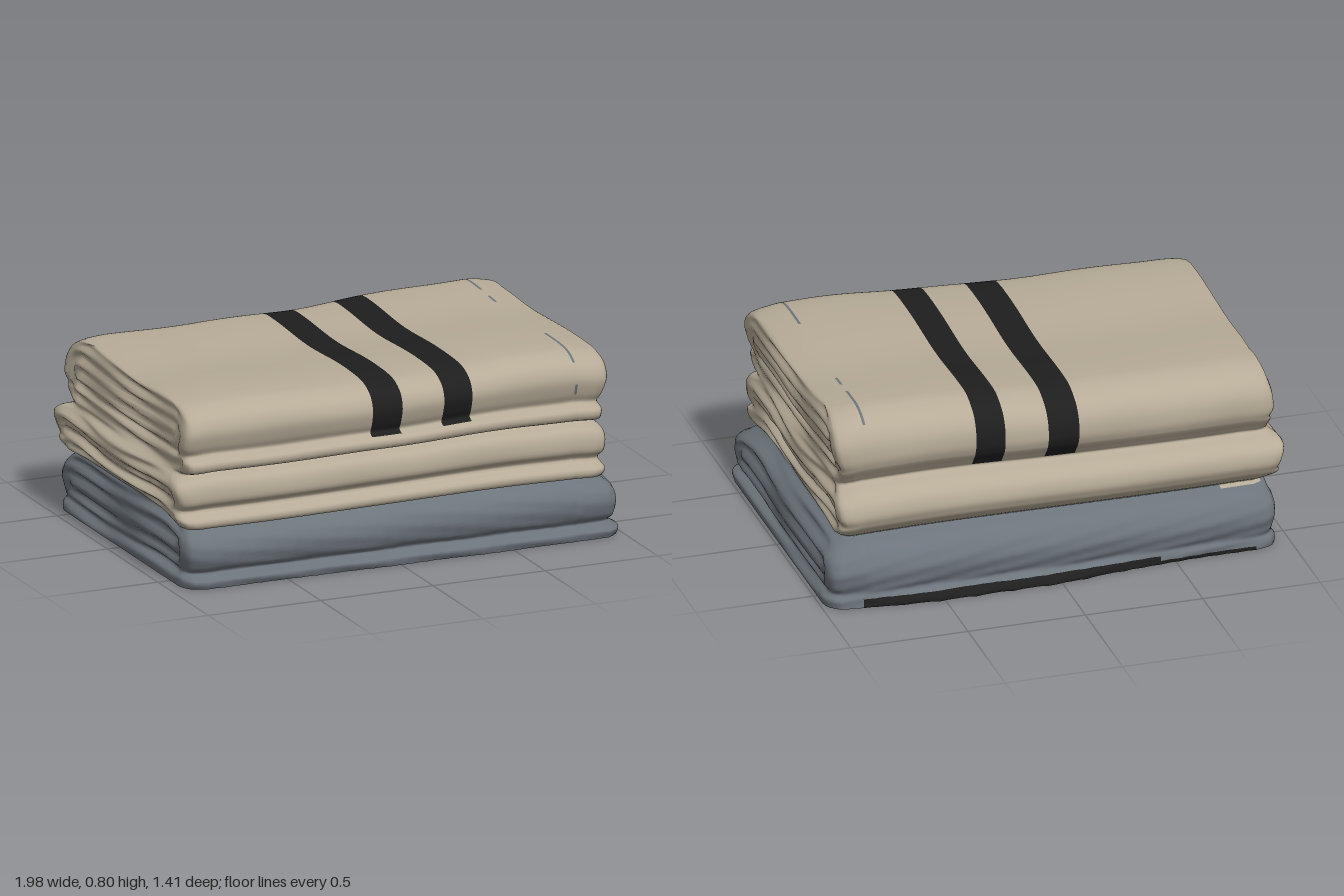
import * as THREE from 'three';

// Outline of the pile from the floor up: y, front z, back z, right x, left x
const KEYS = [
  [0, .69, -.66, -.945, .985], [.035, .70, -.66, -.945, .99], [.057, .65, -.65, -.935, .97],
  [.09, .675, -.66, -.94, .982], [.15, .69, -.668, -.95, .988], [.21, .675, -.64, -.945, .98],
  [.25, .635, -.59, -.93, .94], [.27, .62, -.545, -.92, .90], [.285, .69, -.56, -.95, .91],
  [.32, .70, -.60, -.975, .92], [.345, .65, -.615, -.965, .91], [.38, .68, -.625, -.975, .925],
  [.43, .68, -.61, -.99, .93], [.465, .66, -.57, -.98, .92], [.487, .61, -.52, -.94, .90],
  [.51, .69, -.53, -.94, .90], [.55, .70, -.56, -.945, .905], [.572, .655, -.572, -.94, .905],
  [.61, .67, -.582, -.953, .92], [.67, .685, -.577, -.95, .935], [.72, .67, -.55, -.94, .935],
  [.75, .635, -.505, -.935, .93], [.77, .58, -.45, -.927, .92], [.776, .50, -.40, -.915, .905]
];
const ROWS = (KEYS.length - 1) * 4;
const splines = [1, 2, 3, 4].map(c => new THREE.SplineCurve(KEYS.map(k => new THREE.Vector2(k[c], k[0]))));
const rings = [];
for (let r = 0; r <= ROWS; r++) {
  const [zf, zb, xl, xr] = splines.map(s => s.getPoint(r / ROWS));
  rings.push({ y: Math.max(0, zf.y), zf: zf.x, zb: zb.x, xl: xl.x, xr: xr.x });
}

// Columns across the width, lined up with the stripe edges
const COLS = [-.85];
for (const [to, n] of [[-.113, 18], [.017, 4], [.2, 5], [.325, 4], [.782, 12], [.793, 1], [.83, 2]]) {
  const from = COLS[COLS.length - 1];
  for (let k = 1; k <= n; k++) COLS.push(from + (to - from) * k / n);
}
const EDGE = [0, .025, .06];
const N = COLS.length + 5;   // last column index
const M = 46;                // last depth index
const clamp = THREE.MathUtils.clamp, smooth = THREE.MathUtils.smoothstep;

function gridX(i, g) {
  if (i < 3) return g.xl + EDGE[i];
  if (i > N - 3) return g.xr - EDGE[N - i];
  return COLS[i - 3];
}
function gridZ(j, g) {
  if (j < 3) return g.zf - EDGE[j];
  if (j > M - 3) return g.zb + EDGE[M - j];
  return THREE.MathUtils.lerp(g.zf - EDGE[2], g.zb + EDGE[2], (j - 2) / (M - 4));
}

// Nested folds seen at the towel ends: centre y, half height, centre z, half depth
const FOLDS = [[.145, .125, .01, .66], [.38, .105, .03, .65], [.635, .145, .05, .625]];
function foldGroove(y, z) {
  let depth = 0;
  for (const [yc, hy, zc, hz] of FOLDS) {
    const dz = Math.max(0, Math.abs(z - zc) - (hz - hy));
    const d = hy - Math.hypot(dz, y - yc + .012 * Math.sin(5 * z + yc * 20));
    const strength = .018 + .009 * Math.sin(9 * z + 30 * yc);
    const groove = strength * (.5 - .5 * Math.cos(d * 2 * Math.PI / .058)) + .008 * smooth(d, .02, .08);
    if (d > 0) depth = Math.max(depth, groove);
  }
  return depth;
}

function clothPoint(i, j, row) {
  const g = rings[row];
  let x = gridX(i, g), z = gridZ(j, g), y = g.y;
  // Rounded vertical corners, wider on the lowest towel
  const r = .09 - .035 * smooth(y, .2, .35);
  const cx = clamp(x, g.xl + r, g.xr - r), cz = clamp(z, g.zb + r, g.zf - r);
  const dx = x - cx, dz = z - cz;
  if (dx && dz) {
    const m = Math.max(Math.abs(dx), Math.abs(dz)) / Math.hypot(dx, dz);
    x = cx + dx * m;
    z = cz + dz * m;
  }
  // Fold grooves on both ends
  if (i === 0 || i === N) {
    const fade = smooth(Math.min(j, M - j), 0, 4);
    x += (i ? -1 : 1) * foldGroove(y, z) * fade;
  }
  // Soft dents; the lowest towel is rougher
  const soft = .004 * Math.sin(6 * x + 4 * z + 9 * y) * Math.sin(5 * x - 7 * z + 5 * y);
  const rough = y < .25 ? .004 * Math.sin(47 * x + 40 * y) * Math.sin(31 * x - 70 * y) : 0;
  if (j === 0) z += soft + rough;
  if (j === M) {
    z -= soft + rough;
    // Loose hem spreading out on the floor at the back
    const spread = smooth(x, -.5, 0) * (1 - smooth(x, .5, .9)) * (1 - smooth(y, .01, .05));
    z -= spread * (.036 + .004 * Math.sin(40 * x));
  }
  // The pile is slightly shallower towards -x
  const taper = smooth(-x, -.5, .9);
  z -= .02 * taper * clamp(z / .6, 0, 1);
  z += .025 * taper * clamp(-z / .6, 0, 1) * (1 - smooth(y, .25, .5));
  // The seam above the lowest towel is high in the middle and droops at front and back
  const seam = .012 - .03 * smooth(z, .4, .65) - .015 * smooth(-z, .3, .55);
  const nearSeam = Math.exp(-(((y - .28) / .09) ** 2));
  // Gentle sag along the depth and a step up towards +x
  const lift = -.014 + .03 * smooth(x, -.05, .6) - .006 * Math.cos(7 * z)
    - .02 * smooth(x, .78, .95) - .01 * smooth(-x, .8, .95) + soft;
  y += lift * clamp(y / .75, 0, 1) + seam * nearSeam
    + .006 * Math.sin(4 * x + 1) * Math.sin(Math.PI * Math.min(1, y / .776));
  return [x - .01 * z * (i > 2 && i < N - 2 ? 1 : 0), Math.max(0, y), z];
}

export function createModel() {
  const sand = new THREE.MeshStandardMaterial({ name: 'sand cloth', color: 0xb6ab97, side: THREE.DoubleSide });
  const slate = new THREE.MeshStandardMaterial({ name: 'slate cloth', color: 0x6c747b, side: THREE.DoubleSide });
  const black = new THREE.MeshStandardMaterial({ name: 'black cloth', color: 0x1e1e1e, side: THREE.DoubleSide });
  const parts = {
    lowerTowel: [slate, []], middleTowel: [sand, []], topTowel: [sand, []],
    stripes: [black, []], looseHem: [black, []], looseThread: [slate, []]
  };

  const positions = [], ids = new Map(), all = [];
  const vertex = (i, j, row) => {
    const key = `${i},${j},${row}`;
    if (!ids.has(key)) {
      ids.set(key, positions.length / 3);
      positions.push(...clothPoint(i, j, row));
    }
    return ids.get(key);
  };
  const quad = (part, a, b, c, d) => {
    const f = [a, b, c, a, c, d];
    parts[part][1].push(...f);
    all.push(...f);
  };

  // Broken line of thread along the top towel
  function hasThread(y, z, back, onTop) {
    if (onTop) return z > .38 || z < -.28 || (z > -.2 && z < -.12);
    return back ? y > .735 : (y > .61 && y < .66) || y > .735;
  }

  // Which part a patch of cloth belongs to
  function partAt(i0, i1, j0, j1, row) {
    const y = (rings[row].y + rings[Math.min(row + 1, ROWS)].y) / 2;
    const inner = Math.min(i0, i1) >= 3 && Math.max(i0, i1) <= N - 3;
    const x = inner ? (COLS[i0 - 3] + COLS[i1 - 3]) / 2 : (i0 < N / 2 ? -.9 : .9);
    const back = j0 === M && j1 === M;
    if (y < (back && x < -.72 ? .26 : .272)) {
      const hemTop = x > -.45 ? .035 : .02;
      return back && y < hemTop && x > -.86 && x < .86 ? 'looseHem' : 'lowerTowel';
    }
    if (y < .487) return 'middleTowel';
    if (y > (back ? .495 : .562)) {
      if ((x > -.113 && x < .017) || (x > .2 && x < .325)) return 'stripes';
      if (x > .782 && x < .793 && hasThread(y, gridZ(j0, rings[row]), back, row === ROWS)) return 'looseThread';
    }
    return 'topTowel';
  }

  // Walls: one loop around the pile for each row, open underneath
  const loop = [];
  for (let i = 0; i < N; i++) loop.push([i, 0]);
  for (let j = 0; j < M; j++) loop.push([N, j]);
  for (let i = N; i > 0; i--) loop.push([i, M]);
  for (let j = M; j > 0; j--) loop.push([0, j]);
  for (let row = 0; row < ROWS; row++) {
    loop.forEach(([i0, j0], k) => {
      const [i1, j1] = loop[(k + 1) % loop.length];
      quad(partAt(i0, i1, j0, j1, row),
        vertex(i0, j0, row), vertex(i1, j1, row), vertex(i1, j1, row + 1), vertex(i0, j0, row + 1));
    });
  }
  // Upper face of the top towel
  for (let i = 0; i < N; i++) {
    for (let j = 0; j < M; j++) {
      quad(partAt(i, i + 1, j, j + 1, ROWS),
        vertex(i, j, ROWS), vertex(i + 1, j, ROWS), vertex(i + 1, j + 1, ROWS), vertex(i, j + 1, ROWS));
    }
  }

  // Shared smooth normals, then one mesh per part
  const cloth = new THREE.BufferGeometry();
  cloth.setAttribute('position', new THREE.Float32BufferAttribute(positions, 3));
  cloth.setIndex(all);
  cloth.computeVertexNormals();
  const group = new THREE.Group();
  group.name = 'foldedTowels';
  for (const [name, [material, index]] of Object.entries(parts)) {
    const geometry = new THREE.BufferGeometry();
    geometry.setAttribute('position', cloth.getAttribute('position'));
    geometry.setAttribute('normal', cloth.getAttribute('normal'));
    geometry.setIndex(index);
    const mesh = new THREE.Mesh(geometry, material);
    mesh.name = name;
    group.add(mesh);
  }
  return group;
}
